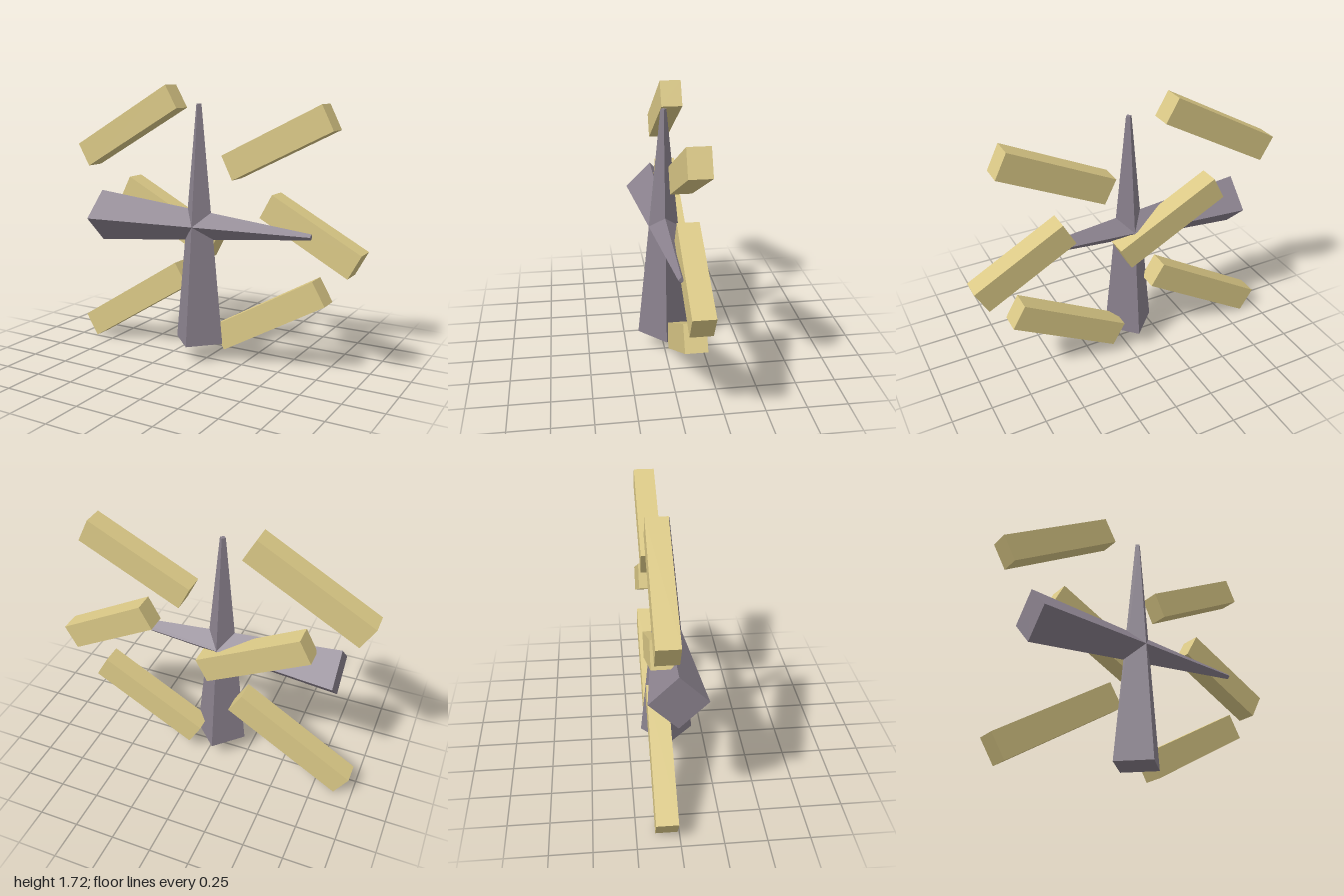
import * as THREE from 'three';

export function createModel() {
  const model = new THREE.Group();
  model.name = 'crossedSpikesWithBars';

  const stone = new THREE.MeshStandardMaterial({ color: 0x8a818d, flatShading: true });
  stone.name = 'purple grey';
  const wood = new THREE.MeshStandardMaterial({ color: 0xdac886, flatShading: true });
  wood.name = 'pale yellow';

  // Two identical four-sided tapered spikes crossing at their middles
  const spike = new THREE.CylinderGeometry(0.018, 0.168, 1.5, 4);
  for (const [name, turn] of [['uprightSpike', 0], ['sidewaysSpike', -Math.PI / 2]]) {
    const mesh = new THREE.Mesh(spike, stone);
    mesh.name = name;
    mesh.position.set(-0.055, 0.87, 0);
    mesh.rotation.z = turn;
    model.add(mesh);
  }

  // Slanted bars behind the cross: name, centre x, centre y, length, tilt in degrees
  const bars = [
    ['upperRightBar', -0.612, 1.463, 0.8, 29.6],
    ['upperLeftBar', 0.452, 1.397, 0.715, 26.5],
    ['middleRightBar', -0.298, 0.897, 0.733, -27.6],
    ['middleLeftBar', 0.677, 0.87, 0.638, -28.6],
    ['lowerRightBar', -0.565, 0.305, 0.86, 31.9],
    ['lowerLeftBar', 0.412, 0.342, 0.766, 29.7],
  ];
  for (const [name, x, y, length, tilt] of bars) {
    const bar = new THREE.Mesh(new THREE.BoxGeometry(length, 0.165, 0.13), wood);
    bar.name = name;
    bar.position.set(x, y, -0.075);
    bar.rotation.z = THREE.MathUtils.degToRad(tilt);
    model.add(bar);
  }

  return model;
}
